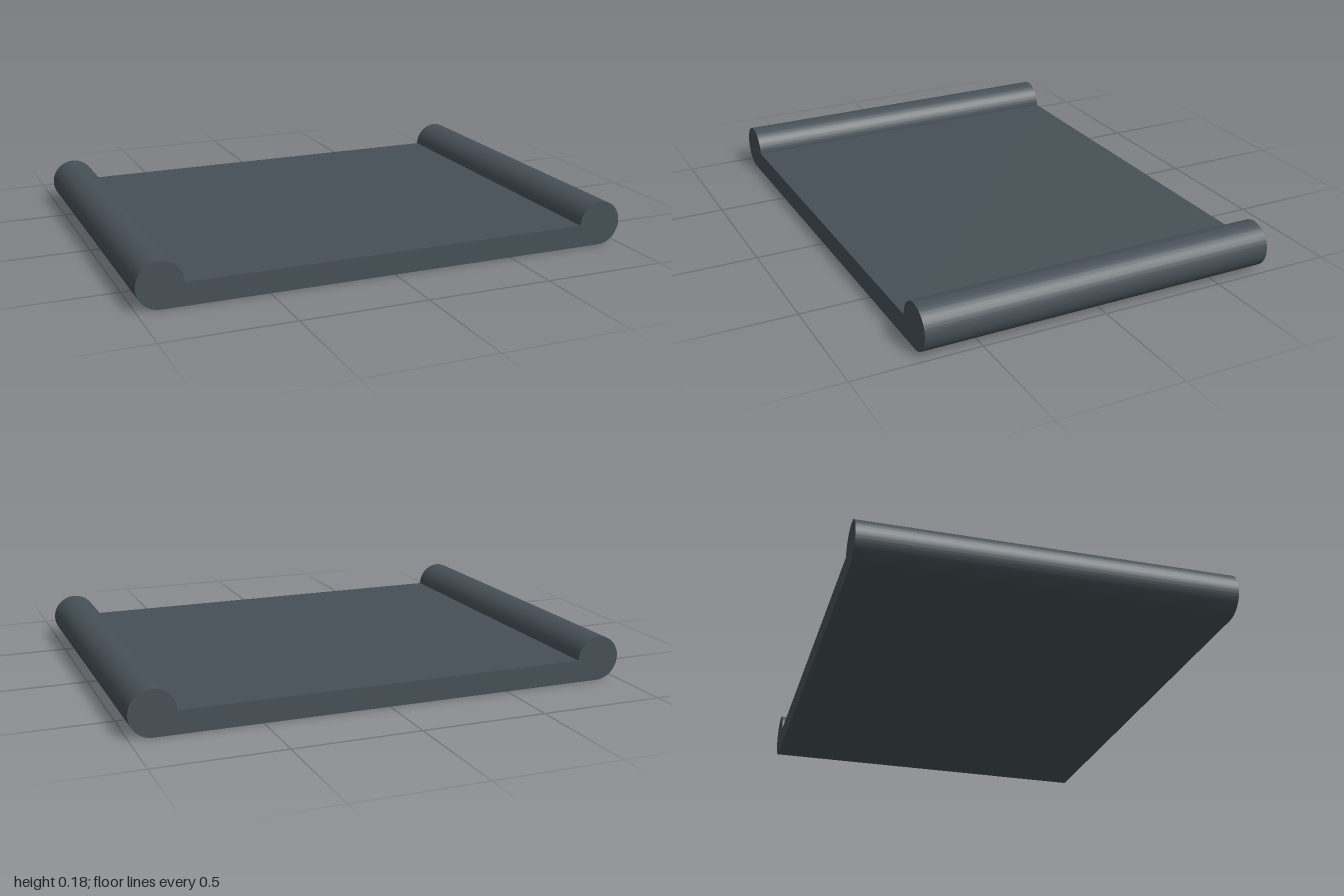
import * as THREE from 'three';
import { toCreasedNormals } from 'three/addons/utils/BufferGeometryUtils.js';

const RADIUS = 0.09;  // rolled edge radius, also the plate thickness
const ROLL_X = 0.91;  // rolled edge centre
const DEPTH = 1.44;

export function createModel() {
  const group = new THREE.Group();
  group.name = 'tray';

  // Flat plate with a round roll along each side, as one profile
  const profile = new THREE.Shape();
  profile.moveTo(-ROLL_X, 0);
  profile.lineTo(ROLL_X, 0);
  profile.absarc(ROLL_X, RADIUS, RADIUS, -Math.PI / 2, Math.PI, false);
  profile.lineTo(-ROLL_X + RADIUS, RADIUS);
  profile.absarc(-ROLL_X, RADIUS, RADIUS, 0, Math.PI * 1.5, false);

  const geometry = new THREE.ExtrudeGeometry(profile, {
    depth: DEPTH,
    bevelEnabled: false,
    curveSegments: 36,
  });
  geometry.translate(0, 0, -DEPTH / 2);

  // Smooth rolls, sharp ends and inner corners
  const tray = new THREE.Mesh(
    toCreasedNormals(geometry, 0.5),
    new THREE.MeshStandardMaterial({ color: 0x465056 })
  );
  tray.name = 'plateWithRolledEdges';
  group.add(tray);
  return group;
}
